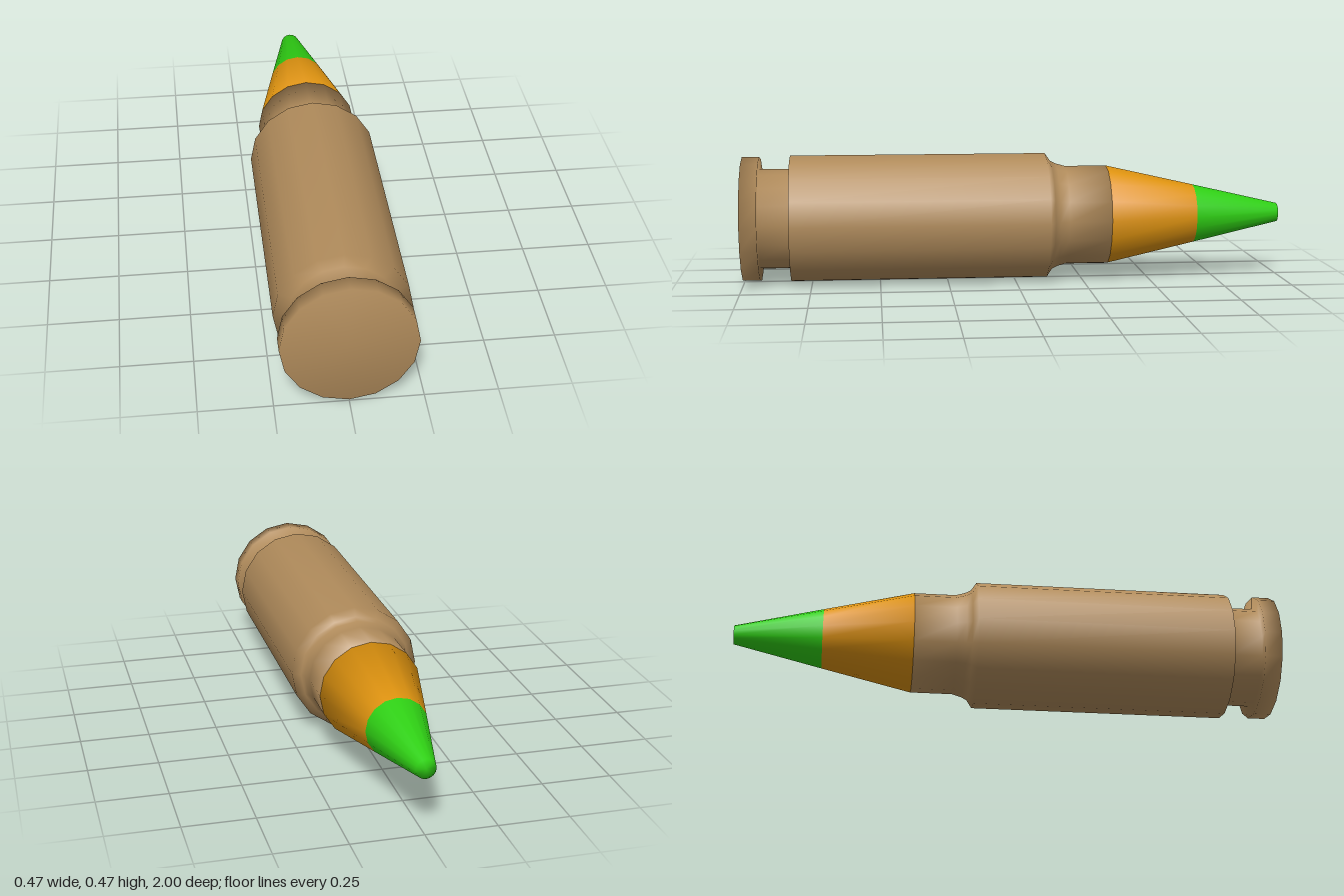
import * as THREE from 'three';

const SIDES = 16;
const RADIUS = 0.234;

// Turned part around the z axis; profile is [radius, z] running from base (+z) to tip (-z)
function turned(name, profile, material) {
  const points = profile.map(([r, z]) => new THREE.Vector2(r, -z));
  const geometry = new THREE.LatheGeometry(points, SIDES);
  geometry.rotateX(-Math.PI / 2);
  const mesh = new THREE.Mesh(geometry, material);
  mesh.name = name;
  return mesh;
}

export function createModel() {
  const brass = new THREE.MeshStandardMaterial({ color: 0xb08b5b });
  brass.name = 'brass';
  const copper = new THREE.MeshStandardMaterial({ color: 0xdd920f });
  copper.name = 'copper orange';
  const green = new THREE.MeshStandardMaterial({ color: 0x2fd014 });
  green.name = 'tip green';

  const cartridge = new THREE.Group();
  cartridge.name = 'cartridge';

  // Casing: rim, extractor groove, body, shoulder, neck
  cartridge.add(turned('casing', [
    [0, 1], [0.23, 1], [0.23, 0.937],
    [0.185, 0.937], [0.185, 0.825],
    [RADIUS, 0.825], [RADIUS, -0.115],
    [0.205, -0.135], [0.195, -0.155], [0.185, -0.19],
    [0.185, -0.345], [0, -0.345],
  ], brass));

  // Projectile: tapered jacket and painted tip
  cartridge.add(turned('jacket', [[0, -0.345], [0.185, -0.345], [0.11, -0.675]], copper));
  cartridge.add(turned('tip', [[0.11, -0.675], [0.035, -1], [0, -1]], green));

  cartridge.position.y = RADIUS;
  const model = new THREE.Group();
  model.name = 'model';
  model.add(cartridge);
  return model;
}
